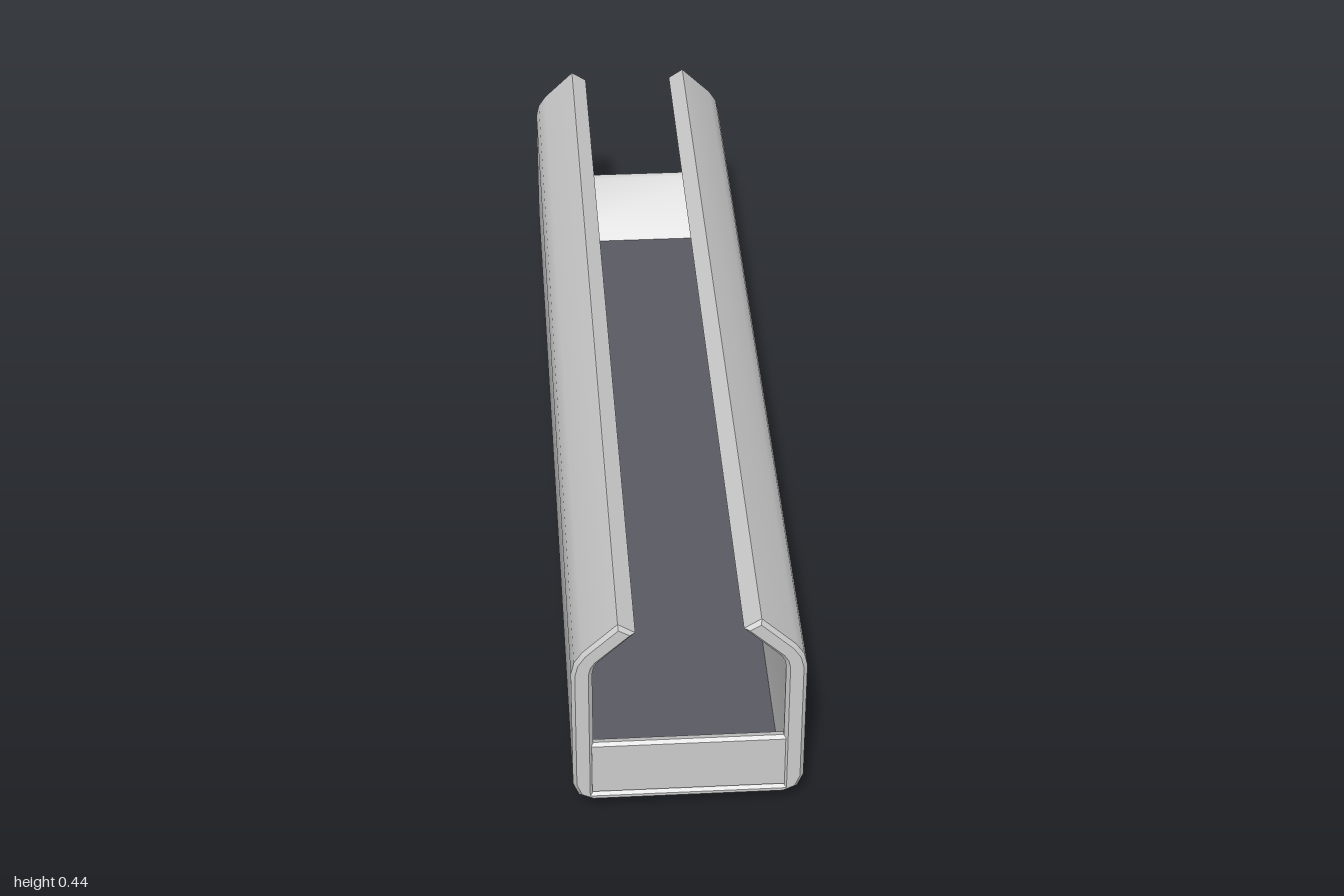
import * as THREE from 'three';
import { toCreasedNormals } from 'three/addons/utils/BufferGeometryUtils.js';

const grey = new THREE.MeshStandardMaterial({ color: 0xcccccc });
const dark = new THREE.MeshStandardMaterial({ color: 0x5a5b62 });

function part(name, geometry, material = grey) {
  const mesh = new THREE.Mesh(toCreasedNormals(geometry, 0.6), material);
  mesh.name = name;
  return mesh;
}

// Extrusion centred on its depth axis; the bevel stays inside the outline
function extrude(points, depth, bevel = 0) {
  const shape = new THREE.Shape(points.map(([x, y]) => new THREE.Vector2(x, y)));
  const g = new THREE.ExtrudeGeometry(shape, {
    depth: depth - 2 * bevel, bevelEnabled: bevel > 0, bevelSegments: 1,
    bevelSize: bevel, bevelThickness: bevel, bevelOffset: -bevel,
  });
  return g.translate(0, 0, bevel - depth / 2);
}

export function createModel() {
  const model = new THREE.Group();
  model.name = 'channel';

  // Channel: right half of the section from the bottom round the lip to the floor, then mirrored
  const half = [
    [0.175, 0.03], [0.2, 0.042], [0.211, 0.07],
    [0.211, 0.33], [0.205, 0.356], [0.19, 0.379], [0.127, 0.44],
    [0.096, 0.42], [0.163, 0.355], [0.17, 0.344], [0.173, 0.33],
    [0.173, 0.05],
  ];
  const section = [...half, ...half.map(([x, y]) => [-x, y]).reverse()];
  model.add(part('channelBody', extrude(section, 2, 0.007)));

  // End walls: thin rim with a ramp falling to the floor inside
  const wall = [
    [0.875, 0.046], [0.99, 0.046], [0.998, 0.052], [0.998, 0.16],
    [0.992, 0.166], [0.98, 0.163], [0.875, 0.056],
  ];
  for (const [name, side] of [['frontEndWall', 1], ['backEndWall', -1]]) {
    const g = extrude(wall, 0.352).rotateY(-Math.PI / 2);
    if (side < 0) g.rotateY(Math.PI);
    model.add(part(name, g));
  }

  // Dark lining on the floor between the ramps
  const lining = new THREE.BoxGeometry(0.346, 0.008, 1.75).translate(0, 0.052, 0);
  model.add(part('floorLining', lining, dark));

  // Bevelled rail under the floor
  const rail = [[-0.054, -0.8], [0.054, -0.8], [0.054, 0.8], [-0.054, 0.8]];
  const railGeometry = extrude(rail, 0.032, 0.011).rotateX(-Math.PI / 2).translate(0, 0.016, 0);
  model.add(part('bottomRail', railGeometry));

  return model;
}
